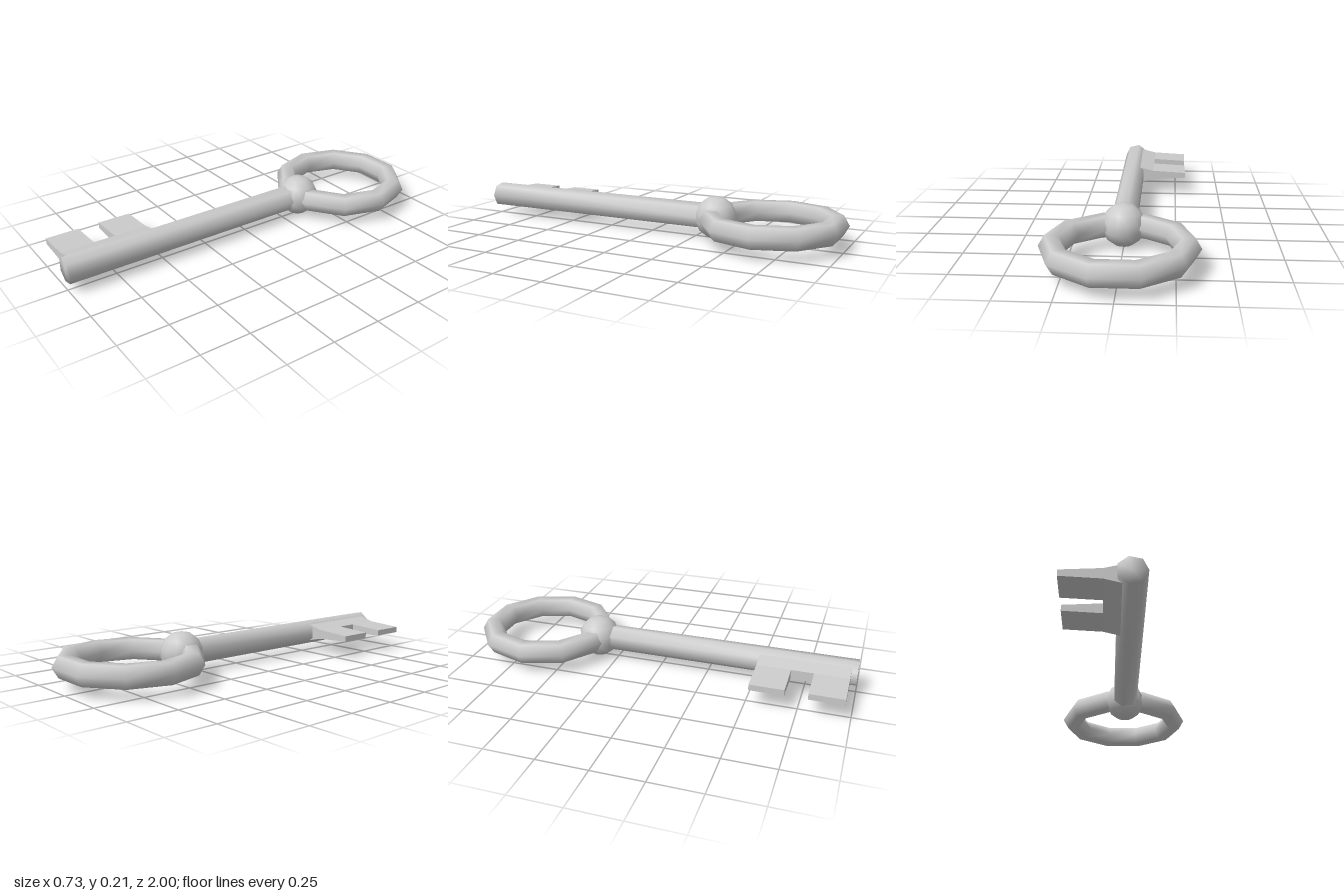
import * as THREE from 'three';
import { mergeVertices } from 'three/addons/utils/BufferGeometryUtils.js';

const MID_Y = 0.11; // height of the key's centre plane

export function createModel() {
  const key = new THREE.Group();
  key.name = 'key';
  const smooth = new THREE.MeshStandardMaterial({ color: 0xcccccc });
  const flat = new THREE.MeshStandardMaterial({ color: 0xcccccc, flatShading: true });

  const add = (name, geometry, material, z = 0, parent = key) => {
    const mesh = new THREE.Mesh(geometry, material);
    mesh.name = name;
    mesh.position.set(0, MID_Y, z);
    parent.add(mesh);
    return mesh;
  };

  // Ten-sided ring handle with a hexagonal tube
  const ring = new THREE.TorusGeometry(0.304, 0.059, 6, 10);
  ring.rotateX(Math.PI / 2);
  add('ringHandle', ring, smooth, -0.655);

  // Ball collar joining the ring and the shaft
  add('collarBall', new THREE.SphereGeometry(0.107, 14, 7), smooth, -0.357);

  // Seven-sided shaft, its end cap sharing smooth normals with the sides
  let shaft = new THREE.CylinderGeometry(0.067, 0.067, 1.34, 7, 1, false, Math.PI / 2);
  shaft.rotateX(Math.PI / 2);
  shaft.deleteAttribute('uv');
  shaft.deleteAttribute('normal');
  shaft = mergeVertices(shaft, 1e-4);
  shaft.computeVertexNormals();
  add('shaft', shaft, smooth, 0.33);

  // Bit: tapered slabs, each swept along the shaft from z0 to z1
  const slab = (xOuter, hOuter, xInner, hInner, z0, z1) => {
    const section = new THREE.Shape([
      new THREE.Vector2(xOuter, -hOuter),
      new THREE.Vector2(xInner, -hInner),
      new THREE.Vector2(xInner, hInner),
      new THREE.Vector2(xOuter, hOuter),
    ]);
    const geometry = new THREE.ExtrudeGeometry(section, { depth: z1 - z0, bevelEnabled: false });
    return geometry.translate(0, 0, z0);
  };
  const bit = new THREE.Group();
  bit.name = 'bit';
  key.add(bit);
  add('bitWeb', slab(-0.12, 0.025, -0.035, 0.046, 0.52, 0.97), flat, 0, bit);
  add('rearTooth', slab(-0.305, 0.015, -0.12, 0.025, 0.52, 0.69), flat, 0, bit);
  add('frontTooth', slab(-0.305, 0.015, -0.12, 0.025, 0.8, 0.97), flat, 0, bit);

  return key;
}
